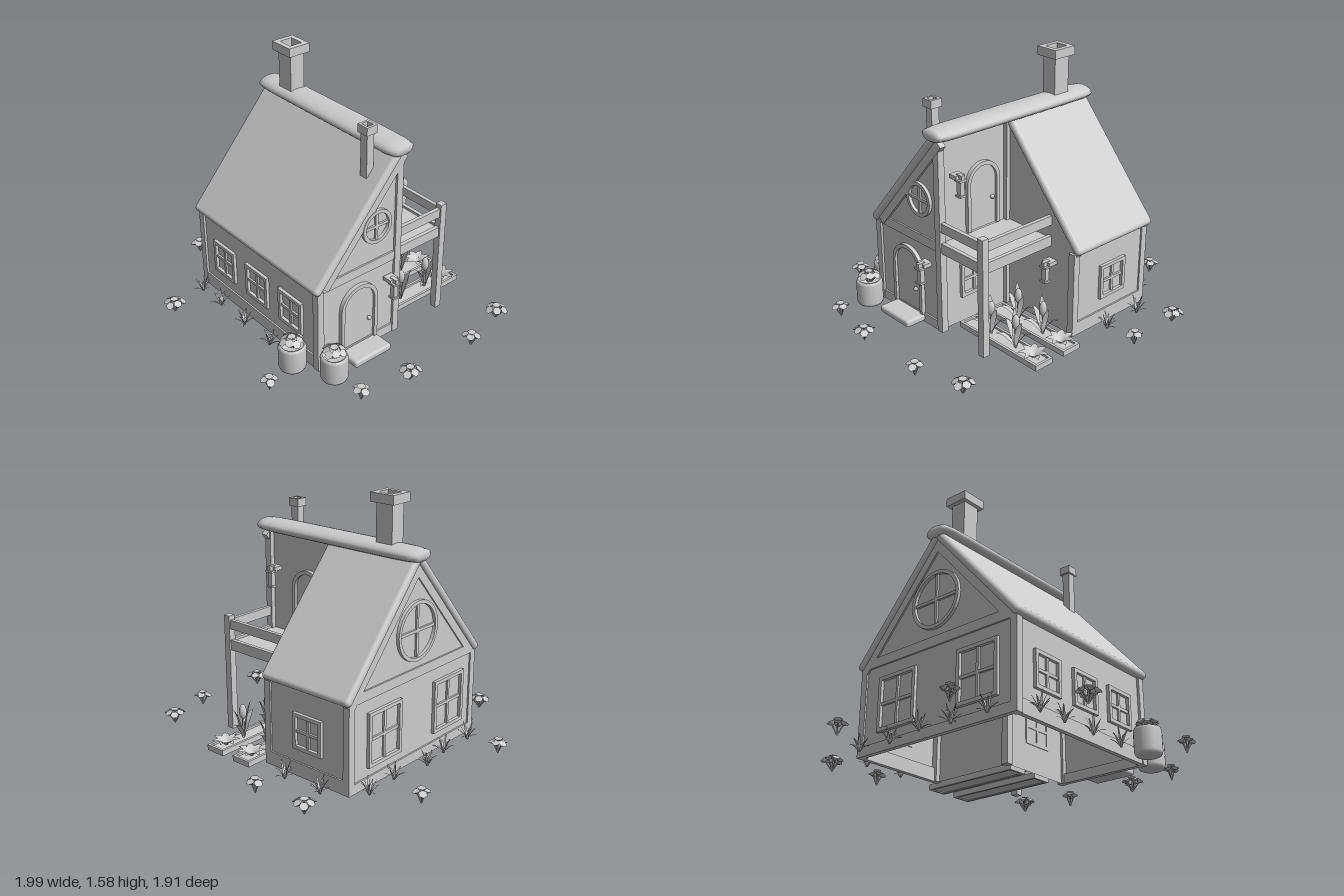
import * as THREE from 'three';
import { RoundedBoxGeometry } from 'three/addons/geometries/RoundedBoxGeometry.js';

const RIDGE_Z = -0.03, LEFT = -0.625, RIGHT = 0.54, FRONT = 0.555, BACK = -0.615, EAVE = 0.55, PEAK = 1.23;

export function createModel() {
  const root = new THREE.Group();
  const grey = new THREE.MeshStandardMaterial({ color: 0xcccccc, side: THREE.DoubleSide });
  grey.name = 'light grey';

  const add = (name, geo, parent = root) => {
    const m = new THREE.Mesh(geo, grey);
    m.name = name;
    parent.add(m);
    return m;
  };
  const group = (name, x, y, z, ry = 0, parent = root) => {
    const g = new THREE.Group();
    g.name = name;
    g.position.set(x, y, z);
    g.rotation.y = ry;
    parent.add(g);
    return g;
  };
  // Box given by its limits
  const box = (name, x0, x1, y0, y1, z0, z1, parent = root) =>
    add(name, new THREE.BoxGeometry(x1 - x0, y1 - y0, z1 - z0)
      .translate((x0 + x1) / 2, (y0 + y1) / 2, (z0 + z1) / 2), parent);
  const polygon = pts => new THREE.Shape(pts.map(p => new THREE.Vector2(...p)));
  const rect = (w, h) => polygon([[-w / 2, -h / 2], [w / 2, -h / 2], [w / 2, h / 2], [-w / 2, h / 2]]);
  const extrude = (shape, depth) => new THREE.ExtrudeGeometry(shape, { depth, bevelEnabled: false, curveSegments: 16 });

  // Walls: L-shaped house, open underneath
  const gable = (name, x, pts) => add(name, new THREE.ShapeGeometry(polygon(pts)).rotateY(-Math.PI / 2).translate(x, 0, 0));
  gable('leftGable', LEFT + 0.01, [[BACK, 0.01], [FRONT, 0.01], [FRONT, EAVE], [RIDGE_Z, PEAK], [BACK, EAVE]]);
  gable('rightGable', RIGHT - 0.01, [[RIDGE_Z, 0.01], [FRONT, 0.01], [FRONT, EAVE], [RIDGE_Z, PEAK]]);
  gable('innerGable', 0, [[BACK, 0.01], [RIDGE_Z, 0.01], [RIDGE_Z, PEAK], [BACK, EAVE]]);
  const wall = (name, x0, x1, h, z) => add(name, new THREE.PlaneGeometry(x1 - x0, h).translate((x0 + x1) / 2, 0.01 + h / 2, z));
  wall('frontWall', LEFT, RIGHT, 0.55, FRONT - 0.01);
  wall('backWall', LEFT, 0, 0.55, BACK + 0.01);
  wall('middleWall', 0, RIGHT, PEAK - 0.01, RIDGE_Z);

  // Timber posts, sills and beams
  for (const [x, z, h] of [[LEFT, FRONT - 0.04, EAVE], [RIGHT - 0.04, FRONT - 0.04, EAVE], [LEFT, BACK, EAVE],
    [-0.03, BACK, EAVE], [RIGHT - 0.04, -0.06, 1.23], [-0.02, -0.06, 1.23]])
    box('cornerPost', x, x + 0.045, 0.01, h, z, z + 0.045);
  box('frontSill', LEFT, RIGHT, 0.01, 0.095, FRONT - 0.03, FRONT);
  box('backSill', LEFT, 0, 0.01, 0.095, BACK, BACK + 0.03);
  box('leftSill', LEFT, LEFT + 0.03, 0.01, 0.07, BACK, FRONT);
  box('rightSill', RIGHT - 0.03, RIGHT, 0.01, 0.07, RIDGE_Z, FRONT);
  box('leftBeam', LEFT, LEFT + 0.03, 0.535, 0.595, BACK, FRONT);
  box('rightBeam', RIGHT - 0.03, RIGHT, 0.535, 0.595, RIDGE_Z, FRONT);

  // Roof slopes with rafters along the gables, and the ridge roll
  const slope = (name, side, x0, x1) => {
    const run = 0.605, drop = 0.695, len = Math.hypot(run, drop);
    const g = group(name, (x0 + x1) / 2, 1.245 - drop / 2, RIDGE_Z + side * run / 2);
    g.rotation.x = side * Math.atan2(drop, run);
    add('roofSlab', new RoundedBoxGeometry(x1 - x0, 0.055, len, 3, 0.026), g);
    const h = (x1 - x0) / 2;
    for (const x of [-h + 0.015, h - 0.055]) box('rafter', x, x + 0.04, -0.075, -0.02, -len / 2, len / 2 - 0.05, g);
  };
  slope('frontRoof', 1, -0.64, 0.562);
  slope('backRoof', -1, -0.64, 0.012);
  const roll = [[0, -0.62], [0.55, -0.62], [0.85, -0.6], [0.97, -0.54], [1, -0.42], [1, 0.42], [0.97, 0.54], [0.85, 0.6], [0.55, 0.62], [0, 0.62]];
  const ridge = add('ridgeRoll', new THREE.LatheGeometry(roll.map(p => new THREE.Vector2(...p)), 20).rotateZ(Math.PI / 2));
  ridge.scale.set(1, 0.043, 0.095);
  ridge.position.set(-0.04, 1.257, RIDGE_Z);

  // Chimneys with hollow caps
  const chimney = (name, x, z, w, d, y0, y1, y2) => {
    const g = group(name, x, 0, z);
    box('shaft', -w / 2, w / 2, y0, y1, -d / 2, d / 2, g);
    const o = w * 0.22, cap = rect(w + 2 * o, d + 2 * o);
    cap.holes.push(rect(w * 0.85, d * 0.85));
    add('cap', extrude(cap, y2 - y1).rotateX(-Math.PI / 2).translate(0, y1, 0), g);
  };
  chimney('largeChimney', -0.41, -0.025, 0.115, 0.1, 1.2, 1.525, 1.58);
  chimney('smallChimney', 0.432, 0.115, 0.054, 0.05, 1.08, 1.36, 1.41);

  // Windows, built facing +z
  const bars = (w, h, g) => {
    box('upright', -0.009, 0.009, -h / 2, h / 2, -0.005, 0.012, g);
    box('crossbar', -w / 2, w / 2, -0.009, 0.009, -0.005, 0.012, g);
  };
  const squareWindow = (w, h, x, y, z, ry) => {
    const g = group('window', x, y, z, ry), s = rect(w, h);
    s.holes.push(rect(w - 0.045, h - 0.045));
    add('frame', extrude(s, 0.025).translate(0, 0, -0.005), g);
    bars(w - 0.04, h - 0.04, g);
  };
  const roundWindow = (r, x, y, z, ry) => {
    const g = group('roundWindow', x, y, z, ry), s = new THREE.Shape().absarc(0, 0, r, 0, Math.PI * 2);
    s.holes.push(new THREE.Path().absarc(0, 0, r - 0.022, 0, Math.PI * 2));
    add('frame', extrude(s, 0.025).translate(0, 0, -0.005), g);
    bars(2 * r - 0.03, 2 * r - 0.03, g);
  };
  for (const x of [-0.368, -0.037, 0.288]) squareWindow(0.215, 0.22, x, 0.29, FRONT - 0.01, 0);
  for (const z of [-0.31, 0.29]) squareWindow(0.29, 0.33, LEFT + 0.01, 0.29, z, -Math.PI / 2);
  squareWindow(0.215, 0.22, -0.32, 0.29, BACK + 0.01, Math.PI);
  squareWindow(0.215, 0.22, 0.27, 0.29, RIDGE_Z, Math.PI);
  roundWindow(0.107, RIGHT - 0.01, 0.82, 0.128, Math.PI / 2);
  roundWindow(0.18, LEFT + 0.01, 0.82, RIDGE_Z, -Math.PI / 2);

  // Arched doors
  const arch = (r, h) => new THREE.Shape().moveTo(-r, 0).lineTo(r, 0).lineTo(r, h - r).absarc(0, h - r, r, 0, Math.PI).lineTo(-r, 0);
  const door = (name, r, h, x, y, z, ry) => {
    const g = group(name, x, y, z, ry), s = arch(r, h);
    s.holes.push(arch(r - 0.024, h - 0.024));
    add('doorFrame', extrude(s, 0.025), g);
    add('doorPanel', extrude(arch(r - 0.02, h - 0.02), 0.008), g);
    add('knob', new THREE.SphereGeometry(0.014, 10, 8).translate(r * 0.55, h * 0.42, 0.02), g);
  };
  door('frontDoor', 0.137, 0.46, RIGHT - 0.01, 0.02, 0.255, Math.PI / 2);
  door('balconyDoor', 0.125, 0.42, 0.2, 0.595, RIDGE_Z, Math.PI);
  add('doorStep', new RoundedBoxGeometry(0.14, 0.045, 0.275, 2, 0.015).translate(0.605, 0.04, 0.248));

  // Balcony
  box('balconyFloor', 0, 0.53, 0.55, 0.585, -0.4, RIDGE_Z);
  box('balconyPost', 0.5, 0.545, 0.01, 0.755, -0.425, -0.38);
  for (const [y0, y1] of [[0.535, 0.6], [0.67, 0.728]]) {
    box('sideRail', 0.51, 0.535, y0, y1, -0.4, -0.04);
    box('backRail', 0, 0.52, y0, y1, -0.415, -0.39);
  }

  // Hanging lanterns, arms reaching along +z
  const lantern = (x, y, z, ry) => {
    const g = group('lantern', x, y, z, ry);
    box('arm', -0.032, 0.032, 0.105, 0.13, 0, 0.06, g);
    box('hook', -0.012, 0.012, 0.105, 0.135, 0.035, 0.085, g);
    box('lanternTop', -0.026, 0.026, 0.095, 0.108, 0.035, 0.087, g);
    box('lanternGlass', -0.016, 0.016, 0.01, 0.095, 0.045, 0.077, g);
    box('lanternBase', -0.023, 0.023, 0, 0.012, 0.038, 0.084, g);
  };
  lantern(0.55, 0.33, 0.045, Math.PI / 2);
  lantern(0.005, 0.33, -0.435, Math.PI / 2);
  lantern(0.435, 0.885, -0.06, Math.PI);

  // Leaf strip arching outwards along +z
  const leaf = (out, rise, droop, width, tip) => {
    const geo = new THREE.PlaneGeometry(1, 1, 2, 5), p = geo.attributes.position;
    for (let i = 0; i < p.count; i++) {
      const s = p.getX(i) * 2, t = p.getY(i) + 0.5;
      const w = width / 2 * (tip ? Math.sin(Math.PI * (0.12 + 0.88 * t)) : 1 - 0.6 * t * t);
      p.setXYZ(i, s * w, rise * t - droop * t * t + Math.abs(s) * w * 0.3, out * t);
    }
    geo.computeVertexNormals();
    return geo;
  };

  // Grass tufts along the walls
  const tufts = [[-0.48, -0.69], [-0.21, -0.69], [-0.69, -0.52], [-0.68, -0.29], [-0.72, -0.03], [-0.69, 0.17],
    [-0.69, 0.42], [-0.53, 0.63], [-0.33, 0.63], [-0.08, 0.63], [0.175, 0.63]];
  tufts.forEach(([x, z], k) => {
    const g = group('grassTuft', x, 0.01, z, k * 1.3);
    for (let i = 0; i < 11; i++) {
      const f = (i * 7 % 11) / 11;
      add('blade', leaf(0.035 + 0.035 * f, 0.13 - 0.05 * f, 0.02 + 0.03 * f, 0.014, false), g).rotation.y = i * Math.PI * 2 / 11;
    }
  });

  // Flower clump: flared heads on leaning stems
  const flowers = (name, x, y, z, count, spread, height) => {
    const g = group(name, x, y, z, x * 9);
    for (let i = 0; i < count; i++) {
      const ring = i === 0 ? 0 : (i % 2 ? 1 : 0.8), a = i * Math.PI * 2 / (count - 1);
      const top = new THREE.Vector3(Math.cos(a) * spread * ring, height * (1 - 0.22 * ring), Math.sin(a) * spread * ring);
      const stem = group('flower', 0, 0, 0, 0, g);
      stem.quaternion.setFromUnitVectors(new THREE.Vector3(0, 1, 0), top.clone().normalize());
      const len = top.length();
      add('stem', new THREE.CylinderGeometry(0.004, 0.004, len, 5).translate(0, len / 2, 0), stem);
      add('bloom', new THREE.CylinderGeometry(0.026, 0.008, 0.018, 6).toNonIndexed().translate(0, len - 0.009, 0), stem);
    }
  };
  for (const [x, z, n] of [[-0.56, -0.9, 7], [-0.2, -0.91, 5], [0.85, -0.6, 7], [0.935, -0.29, 5], [-0.955, -0.4, 5],
    [0.925, 0.2, 7], [0.87, 0.52, 5], [0.48, 0.86, 5], [-0.47, 0.88, 7], [-0.93, 0.39, 6]])
    flowers('flowerClump', x, 0.01, z, n, n > 6 ? 0.052 : 0.036, 0.092);

  // Flower pots
  const pot = [[0, 0.015], [0.06, 0.015], [0.074, 0.022], [0.082, 0.04], [0.082, 0.165], [0.076, 0.18], [0.066, 0.184], [0.064, 0.165], [0, 0.165]];
  for (const [x, z] of [[0.42, 0.65], [0.645, 0.525]]) {
    add('flowerPot', new THREE.LatheGeometry(pot.map(p => new THREE.Vector2(...p)), 24)).position.set(x, 0, z);
    flowers('pottedFlowers', x, 0.15, z, 9, 0.058, 0.088);
    flowers('pottedFlowers', x, 0.15, z, 5, 0.03, 0.082);
  }

  // Vegetable beds with leafy plants
  for (const x of [0.125, 0.345]) {
    const bed = group('vegetableBed', x, 0, 0);
    for (const s of [-1, 1]) box('bedSide', s * 0.058 - 0.008, s * 0.058 + 0.008, 0, 0.035, -0.715, -0.06, bed);
    for (const z of [-0.715, -0.076]) box('bedEnd', -0.06, 0.06, 0, 0.035, z, z + 0.016, bed);
    box('soil', -0.055, 0.055, 0.005, 0.022, -0.71, -0.065, bed);
    const low = group('lowPlant', 0, 0.02, -0.625, 0, bed);
    for (let i = 0; i < 7; i++) add('lowLeaf', leaf(0.09, 0.1, 0.06, 0.045, true), low).rotation.y = i * Math.PI * 2 / 7;
    for (const z of [-0.48, -0.27]) {
      const plant = group('tallPlant', 0, 0.02, z, 0, bed);
      for (let i = 0; i < 5; i++)
        add('tallLeaf', leaf(0.05 + 0.018 * i, 0.36 - 0.04 * i, 0.12, 0.04, true), plant).rotation.y = (i % 2) * Math.PI + (i - 2) * 0.3;
      add('stalk', new THREE.CylinderGeometry(0.006, 0.008, 0.14, 6).translate(0, 0.07, 0), plant);
      add('cob', new THREE.SphereGeometry(0.024, 10, 8).scale(1, 2, 1).translate(0, 0.17, 0), plant);
    }
  }
  return root;
}
